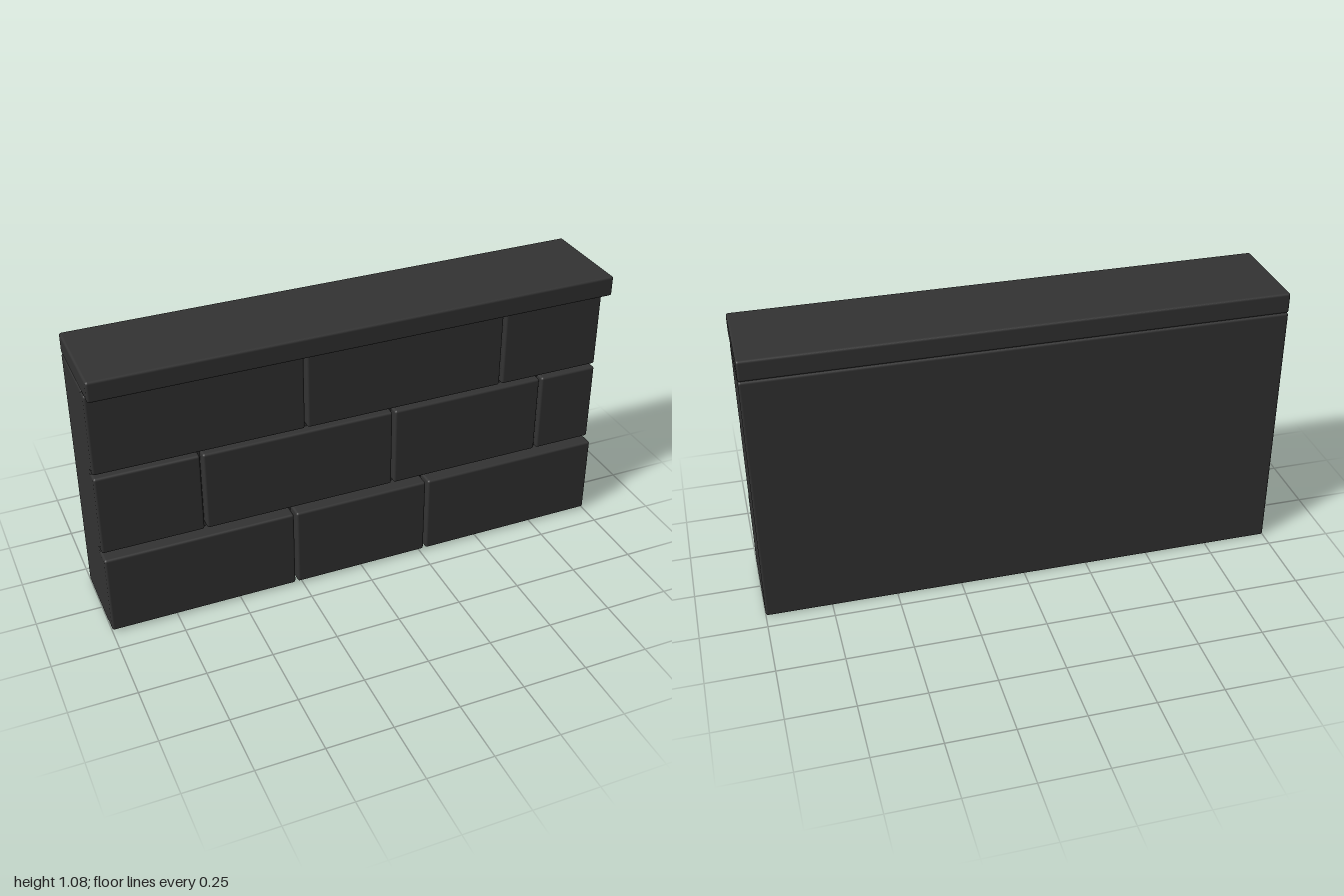
import * as THREE from 'three';
import { RoundedBoxGeometry } from 'three/addons/geometries/RoundedBoxGeometry.js';

const stone = new THREE.MeshStandardMaterial({ color: 0x333333 });
stone.name = 'charcoal stone';

// Box with softened edges, given by its limits on each axis
function block(name, [x0, x1], [y0, y1], [z0, z1], radius = 0.009) {
  const geometry = new RoundedBoxGeometry(x1 - x0, y1 - y0, z1 - z0, 2, radius);
  const mesh = new THREE.Mesh(geometry, stone);
  mesh.position.set((x0 + x1) / 2, (y0 + y1) / 2, (z0 + z1) / 2);
  mesh.name = name;
  return mesh;
}

export function createModel() {
  const wall = new THREE.Group();
  wall.name = 'stoneWall';

  // Core slab and overhanging cap
  wall.add(block('backingWall', [-1, 1], [0, 1], [-0.188, 0.09]));
  wall.add(block('capStone', [-1, 1], [1.001, 1.08], [-0.188, 0.19]));

  // Courses of facing stones, with staggered joints
  const courses = [
    { name: 'bottomCourse', y: [0.007, 0.328], front: 0.157, joints: [-0.273, 0.271] },
    { name: 'middleCourse', y: [0.342, 0.662], front: 0.13, joints: [-0.611, 0.137, 0.76] },
    { name: 'topCourse', y: [0.675, 0.994], front: 0.126, joints: [-0.21, 0.585] },
  ];
  const gap = 0.005;
  for (const { name, y, front, joints } of courses) {
    const course = new THREE.Group();
    course.name = name;
    const edges = [-1 - gap, ...joints, 1 + gap];
    for (let i = 0; i < edges.length - 1; i++) {
      const x = [edges[i] + gap, edges[i + 1] - gap];
      course.add(block('facingStone', x, y, [0.06, front]));
    }
    wall.add(course);
  }
  return wall;
}
